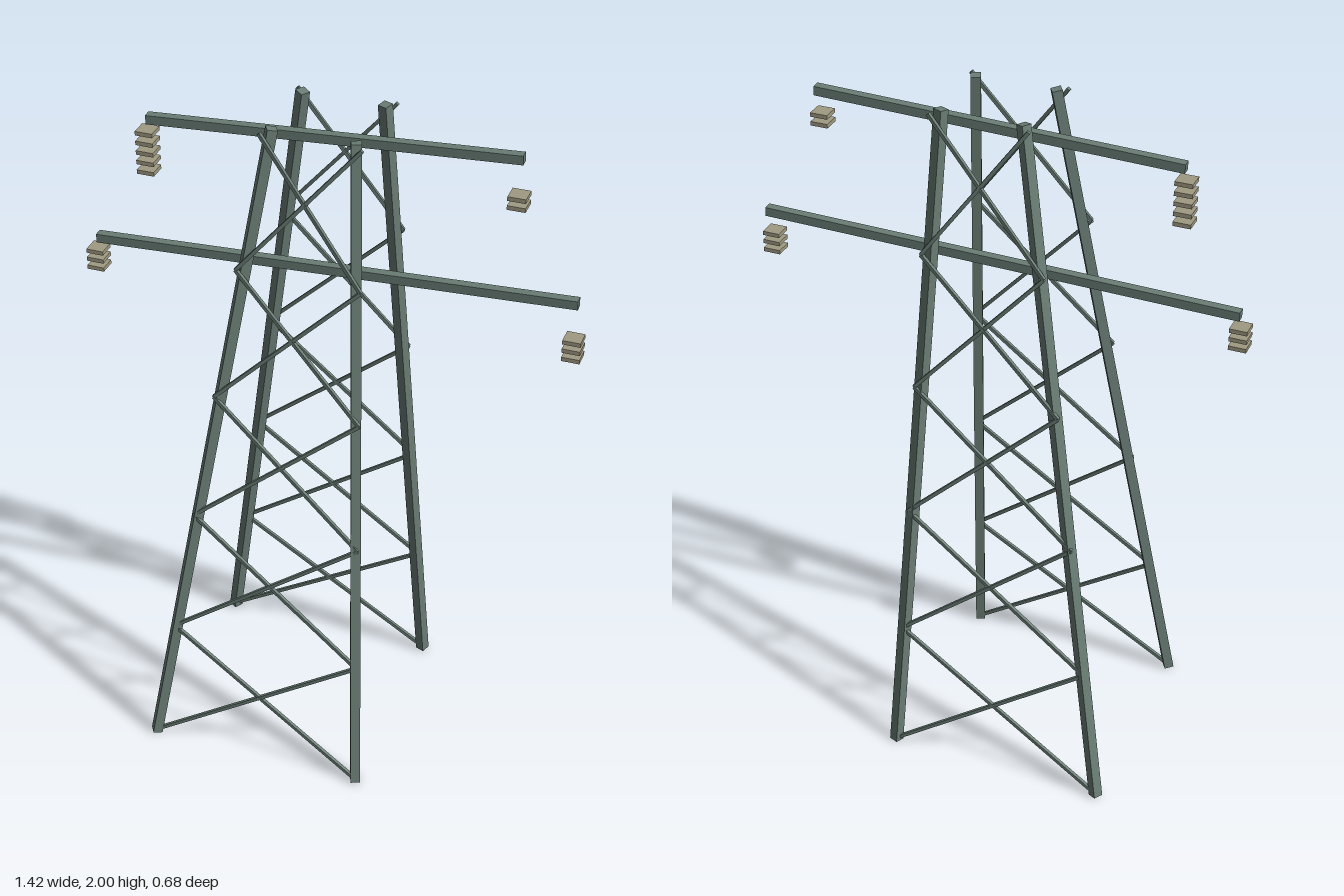
import * as THREE from 'three';

const steel = new THREE.MeshStandardMaterial({ color: 0x6a7d75 });
steel.name = 'grey green steel';
const ceramic = new THREE.MeshStandardMaterial({ color: 0xa09a82 });
ceramic.name = 'beige ceramic';

// Square bar running from point a to point b
function bar(name, a, b, thickness) {
  const start = new THREE.Vector3(...a);
  const end = new THREE.Vector3(...b);
  const mesh = new THREE.Mesh(
    new THREE.BoxGeometry(thickness, thickness, start.distanceTo(end)), steel);
  mesh.position.copy(start).add(end).multiplyScalar(0.5);
  mesh.lookAt(end);
  mesh.name = name;
  return mesh;
}

// Hanging stack of thin square plates
function insulator(name, x, topY, count, spacing) {
  const stack = new THREE.Group();
  stack.name = name;
  for (let i = 0; i < count; i++) {
    const plate = new THREE.Mesh(new THREE.BoxGeometry(0.05, 0.012, 0.05), ceramic);
    plate.name = 'insulatorPlate';
    plate.position.set(x, topY - i * spacing, 0);
    stack.add(plate);
  }
  return stack;
}

export function createModel() {
  const tower = new THREE.Group();
  tower.name = 'powerPylon';

  for (const side of [1, -1]) {
    const face = side > 0 ? 'front' : 'back';

    // Tapering legs, splayed further on the right side
    tower.add(bar(face + 'RightLeg', [-0.438, 0.002, side * 0.32], [-0.115, 1.998, side * 0.113], 0.028));
    tower.add(bar(face + 'LeftLeg', [0.199, 0.002, side * 0.32], [0.115, 1.998, side * 0.113], 0.028));

    // Crossed braces in five bays
    const node = (left, level) => {
      const t = level / 5;
      const x = left ? THREE.MathUtils.lerp(0.199, 0.14, t) : THREE.MathUtils.lerp(-0.438, -0.14, t);
      return [x, 0.006 + 1.986 * t, side * THREE.MathUtils.lerp(0.32, 0.14, t)];
    };
    for (let i = 0; i < 5; i++) {
      tower.add(bar(face + 'Brace', node(false, i), node(true, i + 1), 0.01));
      tower.add(bar(face + 'Brace', node(true, i), node(false, i + 1), 0.01));
    }
  }

  // Slightly tilted cross arms
  tower.add(bar('upperArm', [-0.517, 1.902, 0], [0.515, 1.95, -0.039], 0.026));
  tower.add(bar('lowerArm', [-0.686, 1.504, 0], [0.684, 1.552, -0.039], 0.026));

  // Insulator stacks below the arm ends
  tower.add(insulator('upperRightInsulator', -0.519, 1.863, 5, 0.029));
  tower.add(insulator('upperLeftInsulator', 0.517, 1.863, 2, 0.026));
  tower.add(insulator('lowerRightInsulator', -0.688, 1.465, 3, 0.026));
  tower.add(insulator('lowerLeftInsulator', 0.686, 1.465, 3, 0.026));

  return tower;
}
